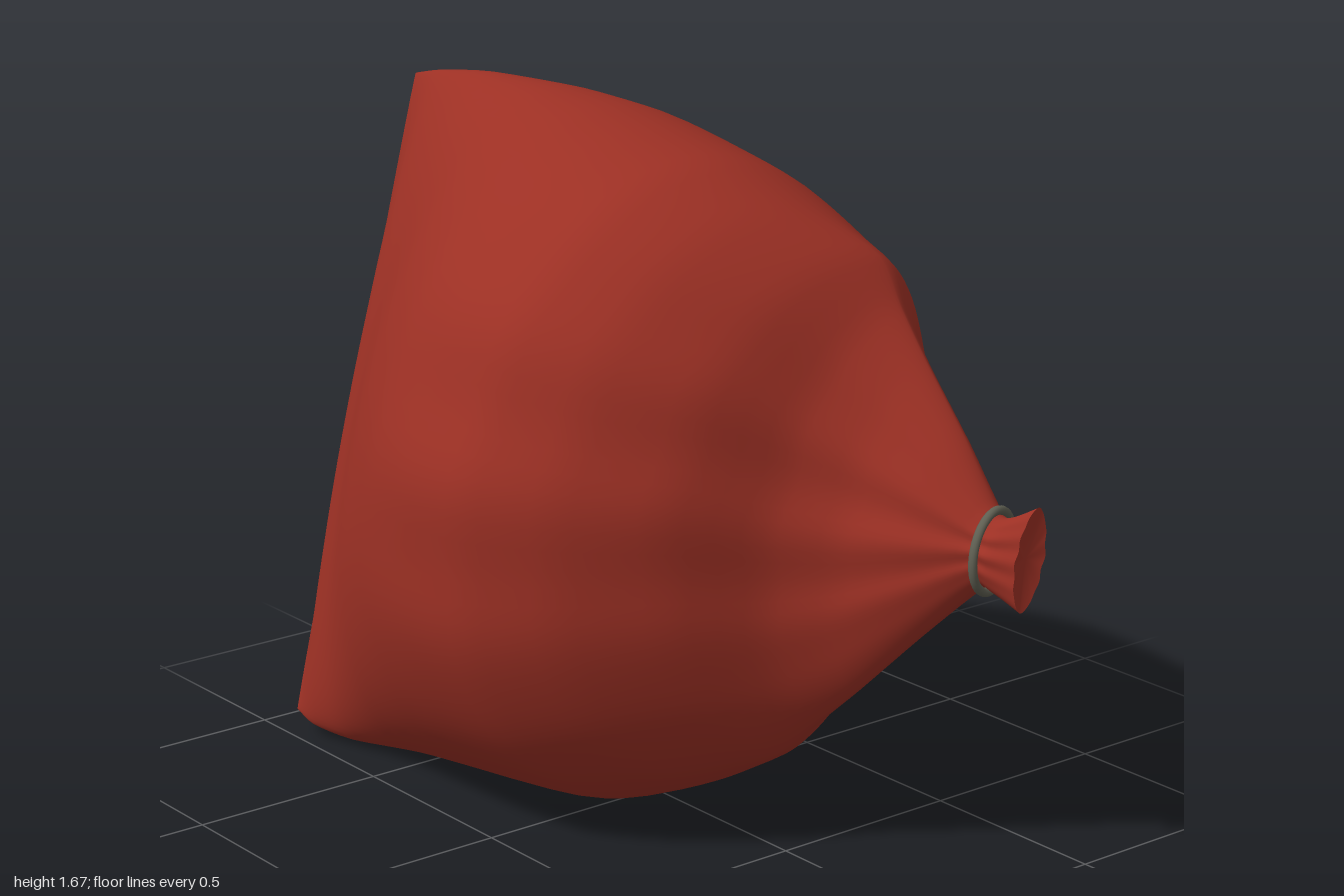
import * as THREE from 'three';

const TILT = 0.297; // lean of the sack's flat seam in the xy plane
const COLS = 96;
const STEPS = 4;

// Cross-sections, back to front:
// z, centre x, centre y, half length, half width (left, right), end sharpness, z lean
const SECTIONS = [
  [-0.945, -0.225, 0.85, 0.83, 0.006, 0.006, 1.0, -0.055],
  [-0.87, -0.21, 0.846, 0.853, 0.09, 0.14, 1.05, -0.045],
  [-0.74, -0.16, 0.842, 0.868, 0.21, 0.32, 1.05, -0.03],
  [-0.52, -0.065, 0.834, 0.862, 0.45, 0.52, 1.0, 0],
  [-0.3, -0.02, 0.828, 0.846, 0.6, 0.62, 1.0, 0],
  [-0.1, -0.01, 0.822, 0.82, 0.65, 0.655, 1.0, 0],
  [0.1, 0.0, 0.815, 0.785, 0.64, 0.65, 1.0, 0],
  [0.28, 0.06, 0.81, 0.7, 0.58, 0.535, 1.0, -0.01],
  [0.43, 0.165, 0.805, 0.608, 0.48, 0.3, 1.15, -0.02],
  [0.52, 0.185, 0.8, 0.505, 0.27, 0.18, 1.3, -0.02],
  [0.62, 0.205, 0.797, 0.395, 0.16, 0.125, 1.3, -0.015],
  [0.75, 0.243, 0.794, 0.24, 0.105, 0.09, 1.2, 0],
  [0.87, 0.28, 0.792, 0.092, 0.06, 0.06, 1.0, 0],
  [0.92, 0.285, 0.79, 0.09, 0.058, 0.058, 1.0, 0],
  [0.98, 0.305, 0.79, 0.122, 0.045, 0.045, 1.2, -0.01],
];

const clamp = (i) => Math.min(Math.max(i, 0), SECTIONS.length - 1);

// Smooth blend between neighbouring cross-sections
function sectionAt(s) {
  const i = Math.min(Math.floor(s), SECTIONS.length - 2);
  const t = s - i;
  const [a, b, c, d] = [-1, 0, 1, 2].map((k) => SECTIONS[clamp(i + k)]);
  return b.map((p, k) => {
    const m0 = (c[k] - a[k]) * 0.35;
    const m1 = (d[k] - p) * 0.35;
    const t2 = t * t, t3 = t2 * t;
    return (2 * t3 - 3 * t2 + 1) * p + (t3 - 2 * t2 + t) * m0
      + (3 * t2 - 2 * t3) * c[k] + (t3 - t2) * m1;
  });
}

// One closed loop of points, with soft pleats along the flanks
function loop(section) {
  const [z, cx, cy, len, wl, wr, sharp, lean] = section;
  const pleat = 0.02 * THREE.MathUtils.smoothstep(z, -0.5, 0.1)
    + 0.06 * THREE.MathUtils.smoothstep(z, 0.3, 0.7);
  const points = [];
  for (let j = 0; j < COLS; j++) {
    const t = (j / COLS) * Math.PI * 2;
    const c = Math.cos(t), s = Math.sin(t);
    const wide = c < 0 ? wl : wr;
    const fold = 1 + pleat * c ** 4 * Math.cos(12 * t - 1.5);
    const v = Math.sign(c) * Math.abs(c) ** sharp * wide * fold;
    const u = s * len;
    points.push(new THREE.Vector3(
      cx + v * Math.cos(TILT) + u * Math.sin(TILT),
      Math.max(0, cy - v * Math.sin(TILT) + u * Math.cos(TILT)),
      z + lean * s,
    ));
  }
  return points;
}

function build(points, index) {
  const geometry = new THREE.BufferGeometry().setFromPoints(points);
  geometry.setIndex(index);
  geometry.computeVertexNormals();
  return geometry;
}

// Skin stretched over all the loops
function skin(loops) {
  const index = [];
  for (let i = 0; i < loops.length - 1; i++) {
    for (let j = 0; j < COLS; j++) {
      const k = (j + 1) % COLS;
      const a = i * COLS + j, b = i * COLS + k;
      index.push(a, b, a + COLS, b, b + COLS, a + COLS);
    }
  }
  return build(loops.flat(), index);
}

// Fan closing one end
function cap(points, front, inset = 0) {
  const centre = points.reduce((sum, p) => sum.add(p), new THREE.Vector3()).divideScalar(COLS);
  centre.z -= inset;
  const index = [];
  for (let j = 0; j < COLS; j++) {
    const k = (j + 1) % COLS;
    index.push(COLS, front ? j : k, front ? k : j);
  }
  return build([...points, centre], index);
}

export function createModel() {
  const cloth = new THREE.MeshStandardMaterial({ color: 0x9c3024 });
  cloth.name = 'red cloth';
  const metal = new THREE.MeshStandardMaterial({ color: 0x5f5f52 });
  metal.name = 'grey band';

  const model = new THREE.Group();
  model.name = 'tiedSack';
  const add = (name, geometry, material) => {
    const mesh = new THREE.Mesh(geometry, material);
    mesh.name = name;
    model.add(mesh);
    return mesh;
  };

  const loops = [];
  const count = (SECTIONS.length - 1) * STEPS;
  for (let i = 0; i <= count; i++) loops.push(loop(sectionAt(i / STEPS)));

  // Sack body, its flat back seam and the gathered mouth
  add('sackBody', skin(loops), cloth);
  add('backSeam', cap(loops[0], false), cloth);
  add('gatheredMouth', cap(loops[count], true, 0.015), cloth);

  // Band tied around the neck
  const band = add('neckBand', new THREE.TorusGeometry(0.096, 0.011, 12, 48), metal);
  band.scale.x = 0.8;
  band.rotation.set(0, 0.2, -TILT, 'YXZ');
  band.position.set(0.28, 0.793, 0.885);

  return model;
}
